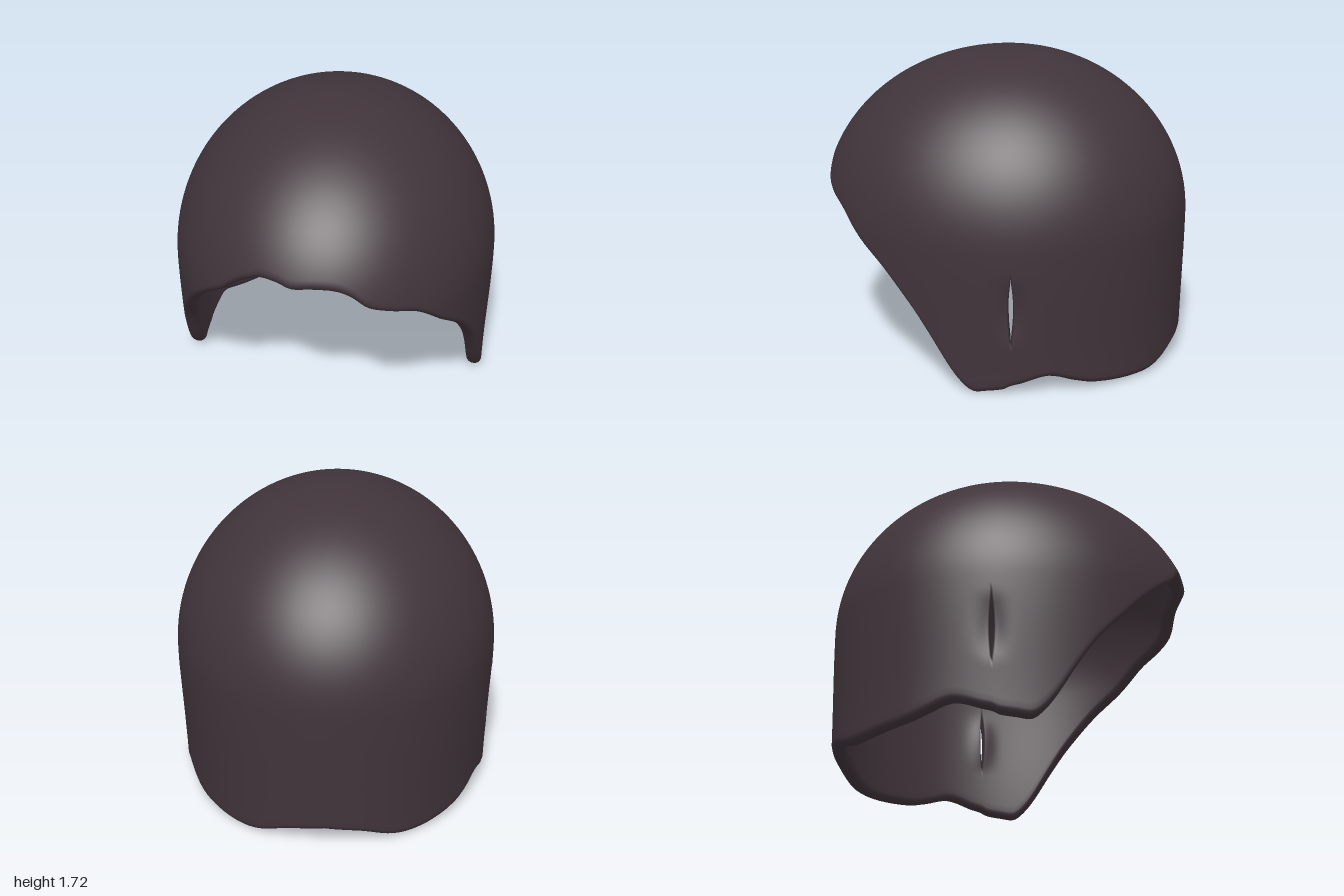
import * as THREE from 'three';
import { mergeVertices } from 'three/addons/utils/BufferGeometryUtils.js';

const RAD = Math.PI / 180, HALF = Math.PI / 2;
const WIDE = 0.905, FRONT = 1.07, BACK = 1.0; // plan radii
const BASE = 0.8, DOME = 0.92;                // dome springs at BASE, rises by DOME
const THICK = 0.085, ROWS = 64, RIM = 8;
const SLIT = 98.6;                            // slit angle from the front, degrees

// Rim height by angle from the front: [degrees, y]
const sideRim = [[58, 0.63], [67, 0.46], [73, 0.31], [79, 0.14], [83, 0.05], [86.5, 0.005], [91, 0.012],
  [96, 0.025], [SLIT, 0.045], [102, 0.06], [111, 0.1], [120, 0.06], [128, 0.03], [144, 0.01],
  [155, 0.02], [167, 0.075], [180, 0.1]];
const leftRim = [[8, 1.085], [14, 1.05], [20, 0.98], [28, 0.935], [38, 0.88], [48, 0.755]];
const rightRim = [[7, 1.08], [13, 1.1], [20, 1.1], [28, 1.04], [35, 0.95], [43, 0.86], [51, 0.75]];

// Polar angle on the shell; past the equator it runs straight down
const heightToPhi = (y) => (y > BASE ? Math.acos((y - BASE) / DOME) : HALF + (BASE - y) / DOME);
const phiToHeight = (p, o) => (p < HALF ? BASE + (DOME - o) * Math.cos(p) : BASE - DOME * (p - HALF));

// Slit opening by height: 0 outside it, 1 at the middle
const opening = (phi) => {
  const t = (phiToHeight(phi, 0) - 0.3) / 0.37;
  return t > 0 && t < 1 ? Math.sin(Math.PI * t) : 0;
};

// Point on the shell; o is the depth below the outer surface
function shellPoint(theta, phi, o, side) {
  const d = theta - Math.sign(theta) * SLIT * RAD;
  const open = opening(phi);
  const sign = side || Math.sign(d);
  o += 0.018 * open * Math.exp(-((d / 0.07) ** 2));
  theta += sign * 0.014 * open * Math.exp(-Math.abs(d) / 0.1);
  const s = Math.sin(theta), c = Math.cos(theta);
  const t = Math.min(1, Math.max(0, (phi - HALF) / 0.87));
  const k = phi < HALF ? Math.sin(phi) : 1 - (0.015 + 0.018 * s * s) * t * t * (3 - 2 * t);
  return [(WIDE - o) * k * s, phiToHeight(phi, o), ((c > 0 ? FRONT : BACK) - o) * k * c];
}

// Columns around the head, doubled at each slit so that it can open
function makeColumns() {
  const mirror = [...rightRim, ...sideRim].reverse().map(([a, y]) => [-a, y]);
  const control = [...mirror, [0, 1.09], ...leftRim, ...sideRim];
  const curve = new THREE.SplineCurve(control.map(([a, y]) => new THREE.Vector2(a, y)));
  const columns = [];
  for (const p of curve.getPoints((control.length - 1) * 5)) {
    const col = { theta: p.x * RAD, y: p.y, side: 0 };
    if (Math.abs(Math.abs(p.x) - SLIT) < 1e-4) {
      columns.push({ ...col, side: -1 }, { ...col, side: 1 });
    } else columns.push(col);
  }
  return columns;
}

function shellGeometry() {
  const columns = makeColumns(), positions = [], index = [];
  const count = 2 * (ROWS + 1) + RIM - 1;

  // Each column: down the outside, round the rim, up the inside
  for (const col of columns) {
    const roll = 0.042;
    const end = heightToPhi(col.y) - roll;
    col.phis = [];
    for (let j = 0; j < count; j++) {
      let phi, o;
      if (j <= ROWS) { phi = end * j / ROWS; o = 0; }
      else if (j < ROWS + RIM) {
        const a = Math.PI * (j - ROWS) / RIM;
        phi = end + roll * Math.sin(a);
        o = THICK / 2 * (1 - Math.cos(a));
      } else { phi = end * (count - 1 - j) / ROWS; o = THICK; }
      col.phis.push(phi);
      positions.push(...shellPoint(col.theta, phi, o, col.side));
    }
  }

  const quad = (a, b, c, d) => index.push(a, b, c, a, c, d);
  for (let i = 0; i < columns.length - 1; i++) {
    const L = i * count, R = L + count;
    if (columns[i].side === -1) {
      // Slit: leave the gap open and close its two walls through the thickness
      for (let j = 0; j < ROWS; j++) {
        const { phis } = columns[i];
        if (!opening(phis[j]) && !opening(phis[j + 1])) continue;
        const m = count - 1 - j;
        quad(L + j, L + j + 1, L + m - 1, L + m);
        quad(R + j, R + m, R + m - 1, R + j + 1);
      }
    } else {
      for (let j = 0; j < count - 1; j++) quad(L + j, L + j + 1, R + j + 1, R + j);
    }
  }

  let geometry = new THREE.BufferGeometry();
  geometry.setAttribute('position', new THREE.Float32BufferAttribute(positions, 3));
  geometry.setIndex(index);
  geometry = mergeVertices(geometry, 1e-4);
  geometry.computeVertexNormals();
  return geometry;
}

export function createModel() {
  const group = new THREE.Group();
  group.name = 'hairCap';
  const shell = new THREE.Mesh(shellGeometry(), new THREE.MeshStandardMaterial({ color: 0x40343a }));
  shell.name = 'capShell';
  group.add(shell);
  return group;
}
